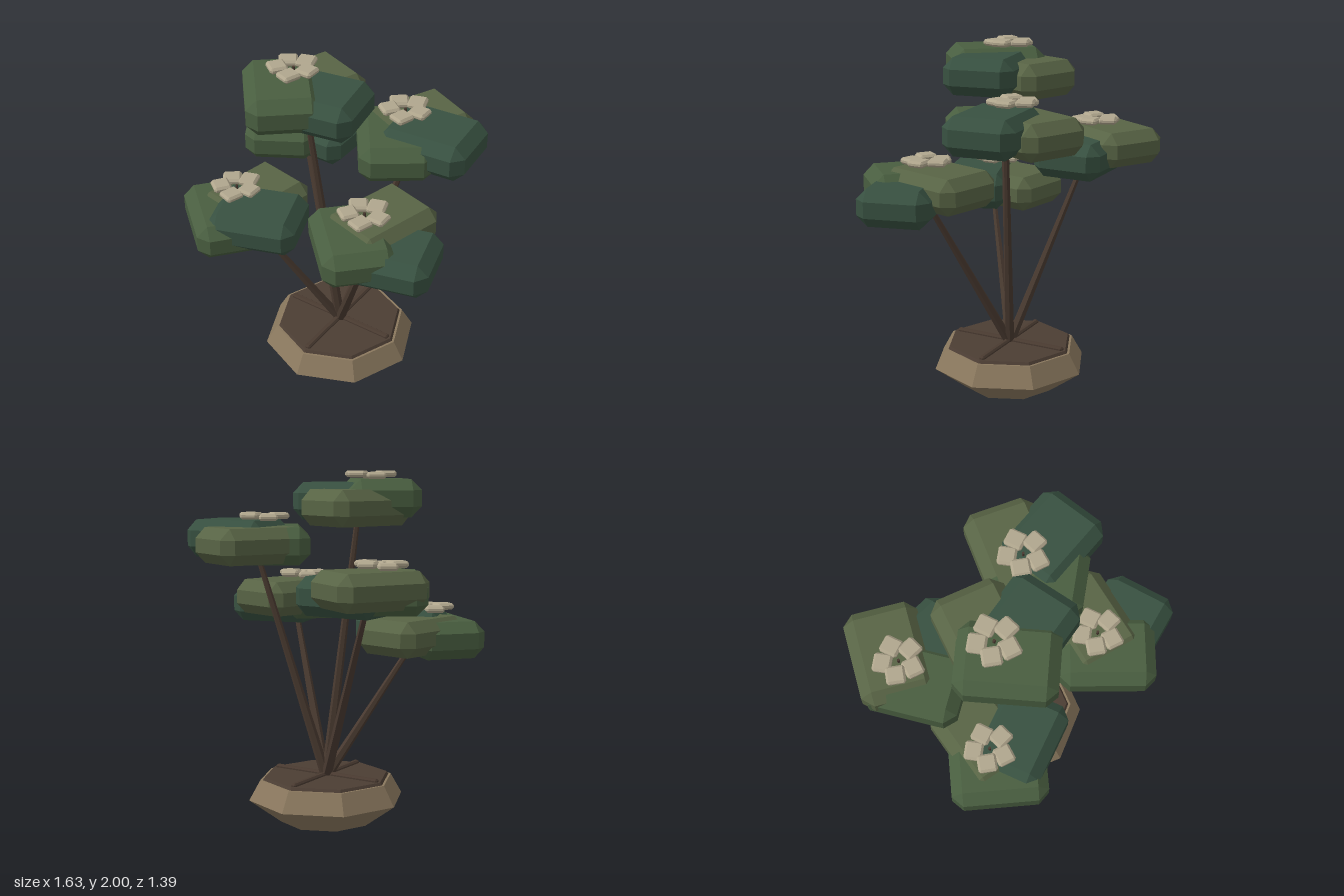
import * as THREE from 'three';
import { ConvexGeometry } from 'three/addons/geometries/ConvexGeometry.js';

const mat = (color) => new THREE.MeshStandardMaterial({ color, flatShading: true });
const clay = mat(0x8a785e), soilMat = mat(0x4b3d33), bark = mat(0x493a30), petalMat = mat(0xb0a68d);
const leafMats = [mat(0x385141), mat(0x495e40), mat(0x586445)];

// Box with every edge and corner cut by c
function chamferBox(w, h, d, c) {
  const points = [];
  for (const x of [-w / 2, w / 2]) for (const y of [-h / 2, h / 2]) for (const z of [-d / 2, d / 2]) {
    const ix = x - Math.sign(x) * c, iy = y - Math.sign(y) * c, iz = z - Math.sign(z) * c;
    points.push(new THREE.Vector3(x, iy, iz), new THREE.Vector3(ix, y, iz), new THREE.Vector3(ix, iy, z));
  }
  return new ConvexGeometry(points);
}

function add(parent, name, geometry, material, x = 0, y = 0, z = 0, yaw = 0) {
  const mesh = new THREE.Mesh(geometry, material);
  mesh.name = name;
  mesh.position.set(x, y, z);
  mesh.rotation.y = yaw;
  parent.add(mesh);
  return mesh;
}

// Tapered rod between two points
function rod(parent, name, from, to, r0, r1, material) {
  const dir = to.clone().sub(from);
  const mid = from.clone().add(to).multiplyScalar(0.5);
  const mesh = add(parent, name, new THREE.CylinderGeometry(r1, r0, dir.length(), 6), material, mid.x, mid.y, mid.z);
  mesh.quaternion.setFromUnitVectors(new THREE.Vector3(0, 1, 0), dir.normalize());
}

export function createModel() {
  const model = new THREE.Group();
  model.name = 'pottedTree';
  const cx = -0.03, cz = -0.015;

  // Eight-sided pot with soil and four surface roots
  const pot = new THREE.Group();
  pot.name = 'pot';
  pot.position.set(cx, 0, cz);
  model.add(pot);
  const profile = [[0, 0], [0.265, 0], [0.45, 0.135], [0.385, 0.25], [0, 0.25]].map(([r, y]) => new THREE.Vector2(r, y));
  add(pot, 'bowl', new THREE.LatheGeometry(profile, 8), clay);
  add(pot, 'soil', new THREE.CylinderGeometry(0.36, 0.375, 0.02, 8), soilMat, 0, 0.255, 0);
  const rootGeo = chamferBox(0.34, 0.03, 0.035, 0.009);
  for (let i = 0; i < 4; i++) {
    const a = i * Math.PI / 2;
    add(pot, 'surfaceRoot', rootGeo, bark, Math.cos(a) * 0.175, 0.267, -Math.sin(a) * 0.175, a);
  }

  // Each cluster: flower x, z and top height, yaw, heights of the three leaf pads
  const clusters = [
    { x: -0.555, z: -0.31, top: 1.54, yaw: 0, pads: [1.345, 1.365, 1.395] },
    { x: 0.27, z: -0.2, top: 1.768, yaw: 0.09, pads: [1.62, 1.585, 1.59] },
    { x: -0.245, z: 0.1, top: 2.0, yaw: 0.17, pads: [1.83, 1.85, 1.8] },
    { x: 0.34, z: 0.3, top: 1.408, yaw: 0.26, pads: [1.2, 1.235, 1.26] },
    { x: -0.505, z: 0.31, top: 1.257, yaw: 0.34, pads: [1.105, 1.06, 1.085] },
  ];
  const padGeos = [chamferBox(0.5, 0.21, 0.41, 0.06), chamferBox(0.53, 0.21, 0.4, 0.06), chamferBox(0.54, 0.2, 0.41, 0.06)];
  const petalGeo = chamferBox(0.105, 0.036, 0.1, 0.012);

  for (const c of clusters) {
    const tip = new THREE.Vector3(c.x + 0.07, c.pads[1], c.z + 0.01);
    rod(model, 'stem', new THREE.Vector3(cx, 0.25, cz), tip, 0.03, 0.014, bark);

    // Three overlapping leaf pads fanned around the stem tip
    const crown = new THREE.Group();
    crown.name = 'leafCluster';
    model.add(crown);
    c.pads.forEach((y, i) => {
      const turn = i * Math.PI * 2 / 3;
      const a = turn + c.yaw;
      add(crown, 'leafPad', padGeos[i], leafMats[i],
        tip.x + 0.12 * Math.cos(a), y, tip.z + 0.115 * Math.sin(a), a);
    });

    // Five-petal blossom on a short stalk
    const blossom = new THREE.Group();
    blossom.name = 'blossom';
    blossom.position.set(c.x, c.top - 0.018, c.z);
    model.add(blossom);
    add(blossom, 'stalk', new THREE.CylinderGeometry(0.008, 0.008, 0.12, 6), bark, 0, -0.06, 0);
    for (let i = 0; i < 5; i++) {
      const a = i * Math.PI * 2 / 5;
      add(blossom, 'petal', petalGeo, petalMat, 0.086 * Math.cos(a), i % 2 ? -0.008 : 0, 0.086 * Math.sin(a), a);
    }
  }
  return model;
}
